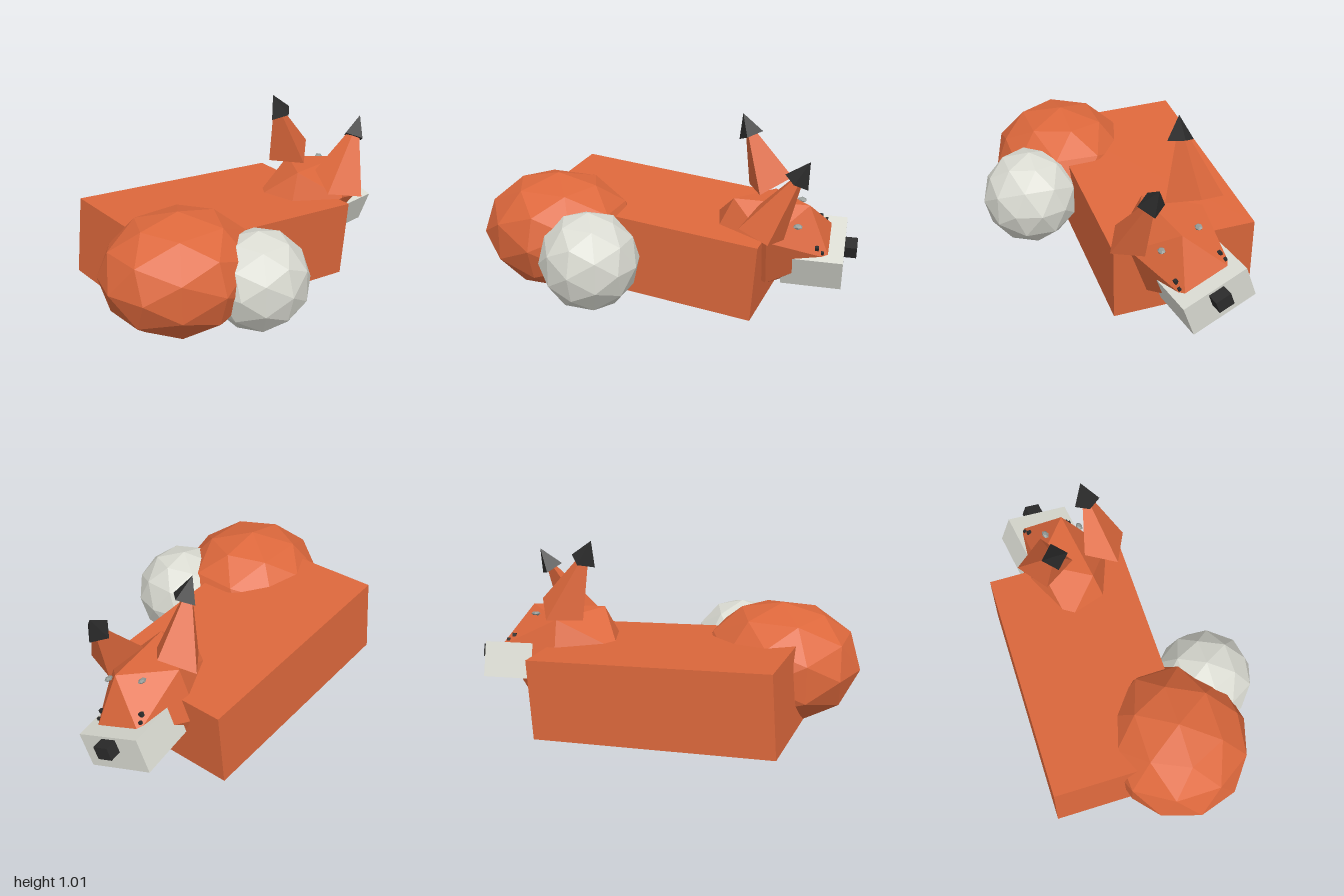
import * as THREE from 'three';
import { ConvexGeometry } from 'three/addons/geometries/ConvexGeometry.js';

const mat = (name, color) => {
  const m = new THREE.MeshStandardMaterial({ color, flatShading: true });
  m.name = name;
  return m;
};

export function createModel() {
  const orange = mat('orange fur', 0xdd683c);
  const white = mat('pale fur', 0xdadbd2);
  const black = mat('black', 0x2b2b2b);
  const grey = mat('eye grey', 0x949a96);
  const model = new THREE.Group();
  model.name = 'sleepingFox';

  const add = (parent, name, geometry, material, pos = [0, 0, 0], scale = [1, 1, 1]) => {
    const mesh = new THREE.Mesh(geometry, material);
    mesh.name = name;
    mesh.position.set(...pos);
    mesh.scale.set(...scale);
    parent.add(mesh);
    return mesh;
  };
  const box = (...size) => new THREE.BoxGeometry(...size);

  // Slightly tilted body with the hind feet tucked underneath
  const body = new THREE.Group();
  body.name = 'body';
  body.position.set(-0.097, 0.282, -0.235);
  body.rotation.set(0.04, 0, -0.083);
  model.add(body);
  add(body, 'torso', box(1.28, 0.425, 0.755), orange);
  for (const side of [-1, 1]) {
    add(body, 'hindFoot', box(0.13, 0.12, 0.11), orange, [-0.37, -0.175, side * 0.23]);
  }

  // Curled tail: large ball with a pale tip
  add(model, 'tail', new THREE.IcosahedronGeometry(1, 1), orange, [-0.58, 0.36, 0.1], [0.42, 0.32, 0.385]);
  add(model, 'tailTip', new THREE.IcosahedronGeometry(0.265, 1), white, [-0.285, 0.315, 0.36]);

  // Head faces +x and rolls to one side
  const head = new THREE.Group();
  head.name = 'head';
  head.position.set(0.54, 0.372, -0.18);
  head.rotation.set(0.37, 0.14, -0.08);
  model.add(head);
  add(head, 'skull', new THREE.IcosahedronGeometry(1, 0), orange, [0, 0, 0], [0.38, 0.28, 0.255]);
  add(head, 'muzzle', box(0.32, 0.187, 0.365), white, [0.235, -0.075, 0]);
  add(head, 'nose', box(0.09, 0.07, 0.085), black, [0.415, -0.03, 0]);
  for (const side of [-1, 1]) {
    add(head, 'eye', new THREE.IcosahedronGeometry(1, 0), grey, [0.15, 0.18, side * 0.108], [0.026, 0.012, 0.02]);
    add(head, 'whiskerDot', box(0.02, 0.02, 0.02), black, [0.255, 0.06, side * 0.128]);
    add(head, 'whiskerDot', box(0.015, 0.015, 0.015), black, [0.285, 0.035, side * 0.134]);
  }

  // Ears: four-sided spikes with wider black caps, each bent its own way
  const ear = (name, base, tip, capBase) => {
    const points = base.map((p) => new THREE.Vector3(...p));
    const end = new THREE.Vector3(...tip);
    const foot = new THREE.Vector3(...capBase);
    const axis = end.clone().sub(foot);
    points.push(end.clone().addScaledVector(axis, -0.2));
    add(model, name, new ConvexGeometry(points), orange);
    const cap = add(model, name + 'Tip', new THREE.ConeGeometry(0.07, axis.length(), 4), black,
      foot.clone().add(end).multiplyScalar(0.5).toArray());
    cap.quaternion.setFromUnitVectors(new THREE.Vector3(0, 1, 0), axis.normalize());
  };
  ear('rightEar',
    [[0.44, 0.5, 0.1], [0.62, 0.465, 0.185], [0.66, 0.44, 0.02], [0.5, 0.58, -0.07]],
    [0.775, 0.867, 0], [0.712, 0.757, 0.015]);
  ear('leftEar',
    [[0.62, 0.68, -0.28], [0.52, 0.62, -0.44], [0.37, 0.6, -0.32], [0.48, 0.605, -0.145]],
    [0.342, 1.01, -0.258], [0.392, 0.897, -0.25]);

  return model;
}
